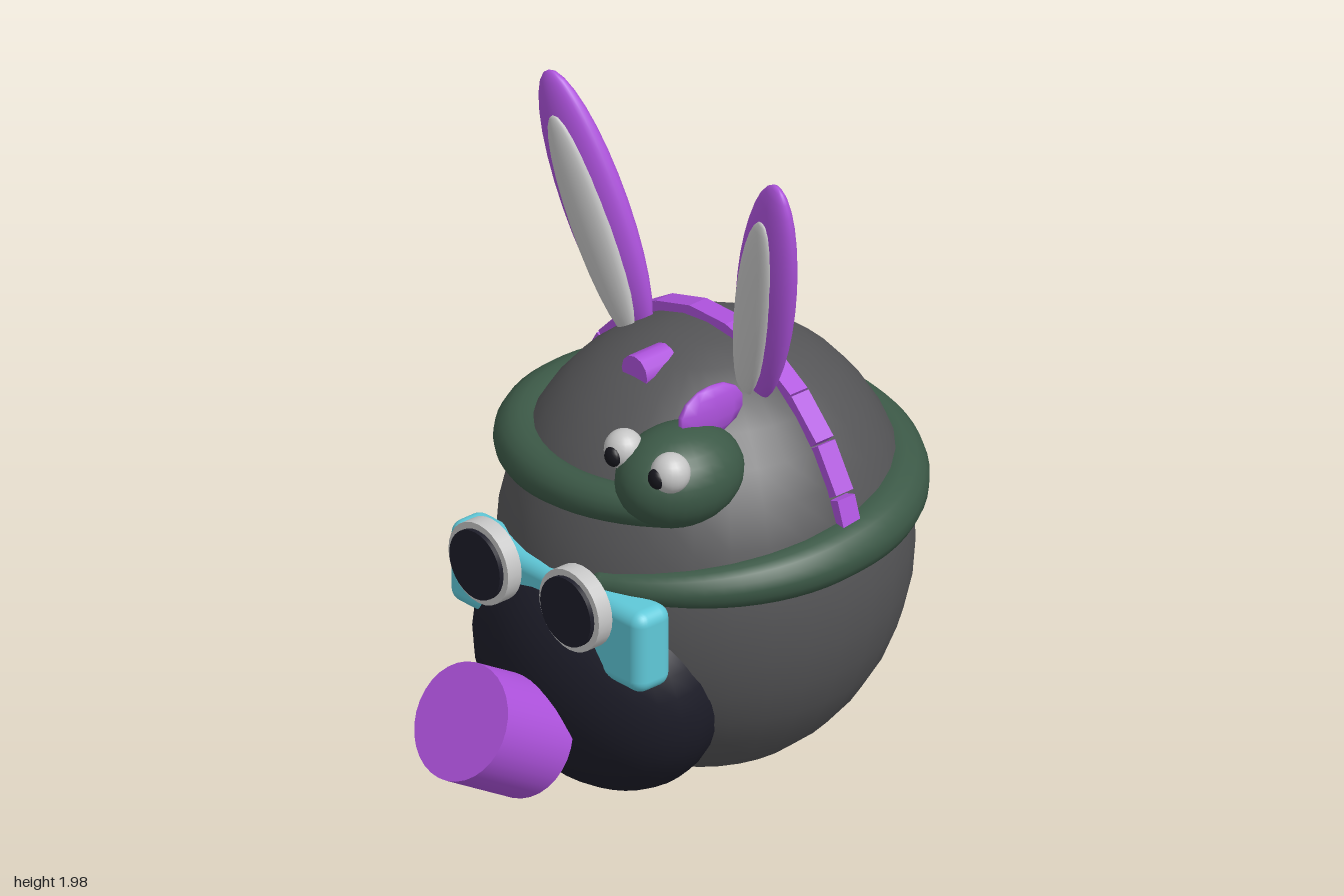
import * as THREE from 'three';
import { RoundedBoxGeometry } from 'three/addons/geometries/RoundedBoxGeometry.js';

const CX = -0.015; // symmetry line of the head

function material(name, color) {
  const m = new THREE.MeshStandardMaterial({ color });
  m.name = name;
  return m;
}

export function createModel() {
  const model = new THREE.Group();
  model.name = 'maskedBallWithSnake';

  const charcoal = material('charcoal', 0x555557);
  const navyBlack = material('navyBlack', 0x1d1d29);
  const purple = material('purple', 0xad52dc);
  const green = material('snakeGreen', 0x3c5947);
  const cyan = material('cyan', 0x5fc8d8);
  const lightGrey = material('lightGrey', 0xc6c6c6);
  const black = material('black', 0x15151c);

  function add(name, geometry, mat, x, y, z, parent = model) {
    const mesh = new THREE.Mesh(geometry, mat);
    mesh.name = name;
    mesh.position.set(x, y, z);
    parent.add(mesh);
    return mesh;
  }
  const ellipsoid = (rx, ry, rz, w = 32, h = 18) => new THREE.SphereGeometry(1, w, h).scale(rx, ry, rz);

  // Round head, dark lower face and tilted snout
  add('head', ellipsoid(0.565, 0.66, 0.59), charcoal, CX, 0.67, -0.2);
  add('lowerFace', ellipsoid(0.41, 0.38, 0.28), navyBlack, CX, 0.425, 0.2).rotation.x = 0.2;
  add('snout', new THREE.CylinderGeometry(0.168, 0.168, 0.28, 32), purple, CX, 0.345, 0.59).rotation.x = Math.PI / 3;

  // Small knob on the forehead
  add('foreheadKnob', new THREE.CylinderGeometry(0.052, 0.052, 0.115, 12), purple, CX, 1.268, 0.008).rotation.x = Math.PI / 2;

  // Goggles: rounded bar with two rimmed lenses
  add('goggleBar', new RoundedBoxGeometry(0.79, 0.25, 0.13, 4, 0.04), cyan, CX, 0.655, 0.343);
  for (const side of [-1, 1]) {
    const x = CX + side * 0.185;
    add('goggleRim', new THREE.CylinderGeometry(0.122, 0.122, 0.05, 28), lightGrey, x, 0.75, 0.453).rotation.x = Math.PI / 2;
    add('goggleLens', new THREE.CylinderGeometry(0.103, 0.103, 0.05, 28), navyBlack, x, 0.75, 0.467).rotation.x = Math.PI / 2;
  }

  // Long ears with pale inner faces
  for (const side of [-1, 1]) {
    const ear = new THREE.Group();
    ear.name = side > 0 ? 'leftEar' : 'rightEar';
    ear.position.set(CX + side * 0.348, 1.595, -0.108);
    ear.rotation.set(0.12, -side * 0.15, -side * 0.29);
    add('outerEar', ellipsoid(0.117, 0.42, 0.056, 24, 16), purple, 0, 0, 0, ear);
    add('innerEar', ellipsoid(0.074, 0.345, 0.03, 20, 14), lightGrey, 0, -0.045, 0.042, ear);
    model.add(ear);
  }

  // Segmented headband arching over the head
  const band = new THREE.Group();
  band.name = 'headband';
  for (let i = -5; i <= 5; i++) {
    const a = i * Math.PI / 13;
    const seg = add('bandSegment', new THREE.BoxGeometry(0.146, 0.04, 0.064), purple,
      CX + 0.572 * Math.sin(a), 0.67 + 0.663 * Math.cos(a), -0.238, band);
    seg.rotation.z = Math.atan2(-0.663 * Math.sin(a), 0.572 * Math.cos(a));
  }
  model.add(band);

  // Snake body: one rising turn round the head, tapered towards both ends
  const points = [];
  for (let i = 0; i <= 40; i++) {
    const t = i / 40;
    const a = 0.28 + t * (2 * Math.PI + 0.36);
    const r = 0.52 + 0.04 * Math.max(0, 1 - t * 5);
    points.push(new THREE.Vector3(r * Math.sin(a), 0.78 + 0.25 * t, -0.2 + r * Math.cos(a)));
  }
  const path = new THREE.CatmullRomCurve3(points);
  const thickness = (t) => t < 0.3
    ? THREE.MathUtils.lerp(0.035, 0.087, Math.sin(t / 0.3 * Math.PI / 2))
    : THREE.MathUtils.lerp(0.087, 0.055, THREE.MathUtils.smoothstep(t, 0.65, 1));
  const body = new THREE.TubeGeometry(path, 72, 1, 16);
  const pos = body.attributes.position;
  const v = new THREE.Vector3();
  for (let i = 0; i <= 72; i++) {
    const t = i / 72;
    const c = path.getPointAt(t);
    for (let j = 0; j <= 16; j++) {
      const k = i * 17 + j;
      v.fromBufferAttribute(pos, k).sub(c).multiplyScalar(thickness(t)).add(c);
      pos.setXYZ(k, v.x, v.y, v.z);
    }
  }
  add('snakeBody', body, green, 0, 0, 0);
  add('snakeTailTip', ellipsoid(0.035, 0.035, 0.035, 16, 10), green, points[0].x, points[0].y, points[0].z);

  // Snake head with eyes and crest
  add('snakeHead', ellipsoid(0.156, 0.143, 0.197, 24, 16), green, 0.332, 1.147, 0.215);
  for (const side of [-1, 1]) {
    add('snakeEye', ellipsoid(0.056, 0.058, 0.056, 20, 14), lightGrey, 0.332 + side * 0.095, 1.23, 0.335);
    add('snakePupil', ellipsoid(0.028, 0.03, 0.02, 16, 10), black, 0.332 + side * 0.089, 1.225, 0.382);
  }
  add('snakeCrest', ellipsoid(0.027, 0.08, 0.12, 10, 7), purple, 0.333, 1.3, 0.1);

  return model;
}
